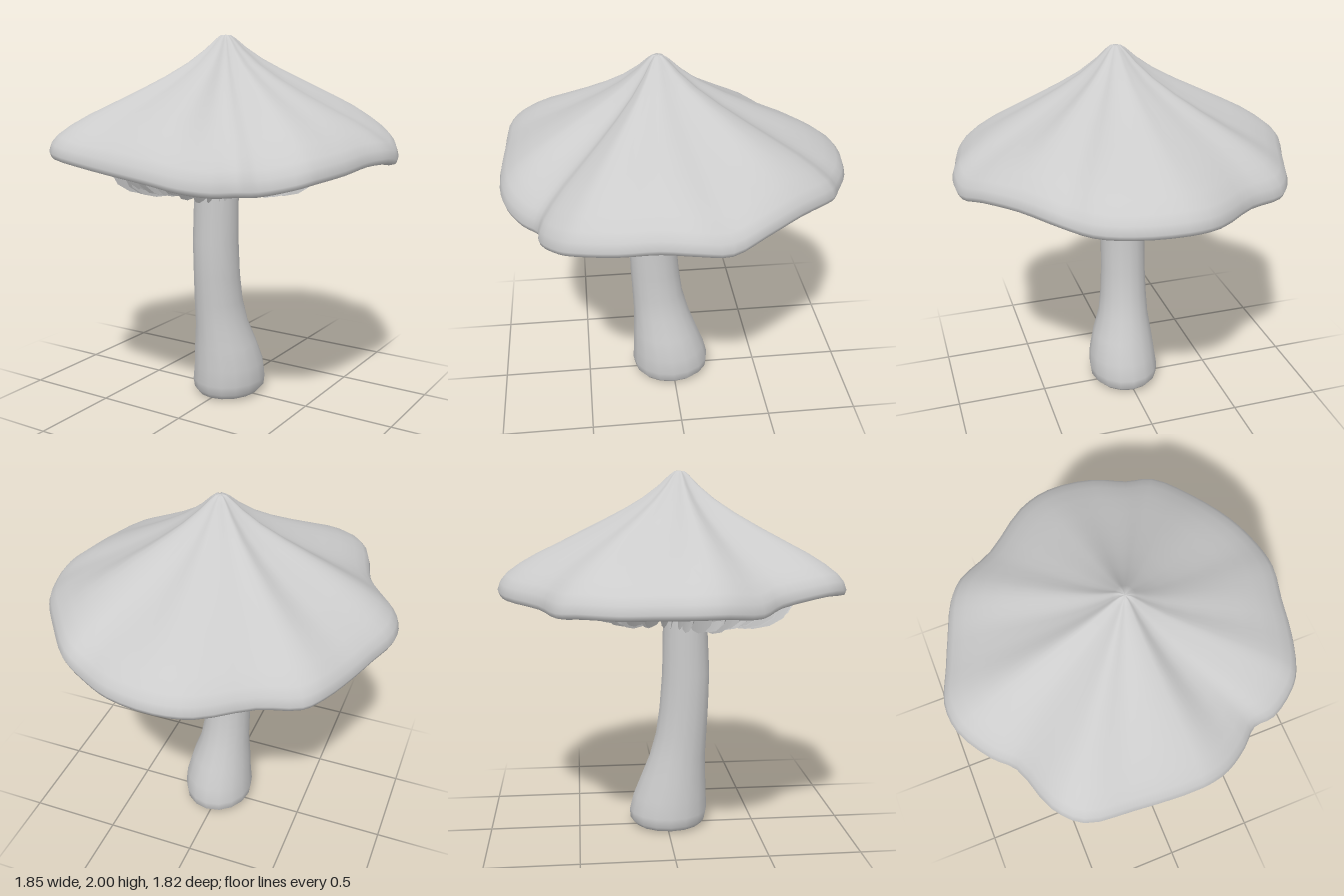
import * as THREE from 'three';
import { mergeGeometries } from 'three/addons/utils/BufferGeometryUtils.js';

// Skin a list of rings (arrays of Vector3); rings closed unless open is set
function loft(rings, open = false) {
  const n = rings[0].length, index = [];
  for (let j = 0; j < rings.length - 1; j++) {
    for (let i = 0; i < (open ? n - 1 : n); i++) {
      const k = (i + 1) % n;
      const a = j * n + i, b = (j + 1) * n + i, c = (j + 1) * n + k, d = j * n + k;
      index.push(a, b, c, a, c, d);
    }
  }
  const g = new THREE.BufferGeometry().setFromPoints(rings.flat());
  g.setIndex(index);
  g.computeVertexNormals();
  return g;
}

// Wavy rim of the cap, anticlockwise from above: x, y, z
const RIM = [
  [0.925, 1.40, -0.02], [0.91, 1.38, -0.18], [0.83, 1.42, -0.35], [0.69, 1.44, -0.55],
  [0.53, 1.42, -0.74], [0.40, 1.38, -0.80], [0.23, 1.38, -0.88], [-0.02, 1.38, -0.91],
  [-0.20, 1.37, -0.86], [-0.44, 1.36, -0.68], [-0.64, 1.35, -0.59], [-0.72, 1.36, -0.49],
  [-0.80, 1.36, -0.30], [-0.86, 1.37, -0.14], [-0.925, 1.38, 0.04], [-0.91, 1.38, 0.20],
  [-0.80, 1.36, 0.38], [-0.70, 1.39, 0.49], [-0.61, 1.43, 0.74], [-0.49, 1.42, 0.86],
  [-0.25, 1.39, 0.89], [0.12, 1.35, 0.905], [0.27, 1.32, 0.87], [0.40, 1.30, 0.79],
  [0.49, 1.30, 0.71], [0.60, 1.31, 0.70], [0.74, 1.34, 0.61], [0.80, 1.36, 0.53],
  [0.86, 1.38, 0.34], [0.89, 1.40, 0.15],
];
const APEX = new THREE.Vector3(0.03, 2, 0.075);

function capGeometry() {
  const curve = new THREE.CatmullRomCurve3(RIM.map(p => new THREE.Vector3(...p)), true);
  const rim = curve.getPoints(90).slice(0, 90);
  const at = (p, t, y) => new THREE.Vector3(
    THREE.MathUtils.lerp(APEX.x, p.x, t), y, THREE.MathUtils.lerp(APEX.z, p.z, t));
  // Upper skin: fraction of the radius, fraction of the height
  const top = [[0, 1], [0.03, 0.995], [0.06, 0.96], [0.12, 0.873], [0.22, 0.755], [0.35, 0.635],
    [0.5, 0.515], [0.66, 0.395], [0.78, 0.305], [0.88, 0.215], [0.95, 0.135], [0.985, 0.07], [1, 0]];
  const rings = top.map(([t, h]) => rim.map(p => {
    const a = Math.atan2(p.z - APEX.z, p.x - APEX.x);
    const fold = 0.012 * Math.sin(5 * a - 0.44) + 0.008 * Math.sin(8 * a + 2) + 0.004 * Math.sin(15 * a);
    return at(p, t, p.y + (APEX.y - p.y) * h + fold * Math.sin(Math.PI * t));
  }));
  // Underside: radius, height, and how far the height follows the rim
  const under = [[0.99, -0.025, 1], [0.96, -0.032, 1], [0.9, -0.015, 1], [0.82, 1.385, 0.5],
    [0.72, 1.4, 0], [0.6, 1.44, 0], [0.4, 1.52, 0], [0.12, 1.63, 0], [0, 1.64, 0]];
  for (const [t, y, f] of under) {
    rings.push(rim.map(p => at(p, t, f === 1 ? p.y + y : THREE.MathUtils.lerp(y, p.y, f))));
  }
  return loft(rings);
}

function stemGeometry() {
  // Sections from top to bottom: y, xMin, xMax, zMin, zMax
  const sections = [
    [1.66, -0.13, 0.12, -0.02, 0.22], [1.2, -0.135, 0.11, -0.02, 0.225],
    [0.9, -0.14, 0.11, -0.025, 0.24], [0.7, -0.14, 0.112, -0.04, 0.235],
    [0.55, -0.143, 0.12, -0.06, 0.228], [0.42, -0.147, 0.138, -0.095, 0.222],
    [0.3, -0.163, 0.178, -0.14, 0.226], [0.18, -0.175, 0.207, -0.187, 0.23],
    [0.09, -0.186, 0.212, -0.21, 0.235], [0.04, -0.182, 0.205, -0.207, 0.225],
    [0.012, -0.16, 0.18, -0.18, 0.205], [0, -0.11, 0.12, -0.12, 0.15], [0.005, 0.01, 0.01, 0.01, 0.01],
  ];
  return loft(sections.map(([y, x0, x1, z0, z1]) => Array.from({ length: 16 }, (_, i) => {
    const a = i / 16 * Math.PI * 2;
    return new THREE.Vector3(
      (x0 + x1) / 2 + (x1 - x0) / 2 * Math.cos(a), y,
      (z0 + z1) / 2 - (z1 - z0) / 2 * Math.sin(a));
  })));
}

function gillsGeometry() {
  // Radius, lower edge and upper edge of one gill
  const profile = [[0.11, 1.37, 1.66], [0.16, 1.295, 1.63], [0.24, 1.235, 1.6], [0.35, 1.21, 1.56],
    [0.45, 1.212, 1.52], [0.54, 1.235, 1.48], [0.61, 1.28, 1.45], [0.66, 1.37, 1.43]];
  const count = 76, gills = [];
  for (let i = 0; i < count; i++) {
    const angle = i / count * Math.PI * 2 + 0.025 * Math.sin(i * 7.3);
    const size = 0.96 + 0.04 * Math.sin(i * 4.1);
    const lift = 0.012 * Math.sin(i * 5.7) - 0.024 * Math.sin(angle);
    const lean = 0.05 + 0.05 * Math.sin(i * 2.9);
    // Every other gill stops short of the stem
    const stations = i % 2 ? profile.slice(2) : profile;
    gills.push(loft(stations.map(([r, low, high]) => [0, 0.5, 1].map(v => {
      const a = angle + lean * (1 - v) * (1 - v) + 0.05 * Math.sin(r * 5);
      const radius = r * size;
      return new THREE.Vector3(
        0.01 + radius * Math.cos(a), THREE.MathUtils.lerp(low + lift, high, v),
        0.065 + radius * Math.sin(a));
    })), true));
  }
  return mergeGeometries(gills);
}

export function createModel() {
  const model = new THREE.Group();
  model.name = 'mushroom';
  const grey = new THREE.MeshStandardMaterial({ color: 0xcccccc });
  const thin = new THREE.MeshStandardMaterial({ color: 0xcccccc, side: THREE.DoubleSide });
  const add = (name, geometry, material) => {
    const mesh = new THREE.Mesh(geometry, material);
    mesh.name = name;
    model.add(mesh);
  };
  add('cap', capGeometry(), grey);
  add('stem', stemGeometry(), grey);
  add('gills', gillsGeometry(), thin);
  return model;
}
